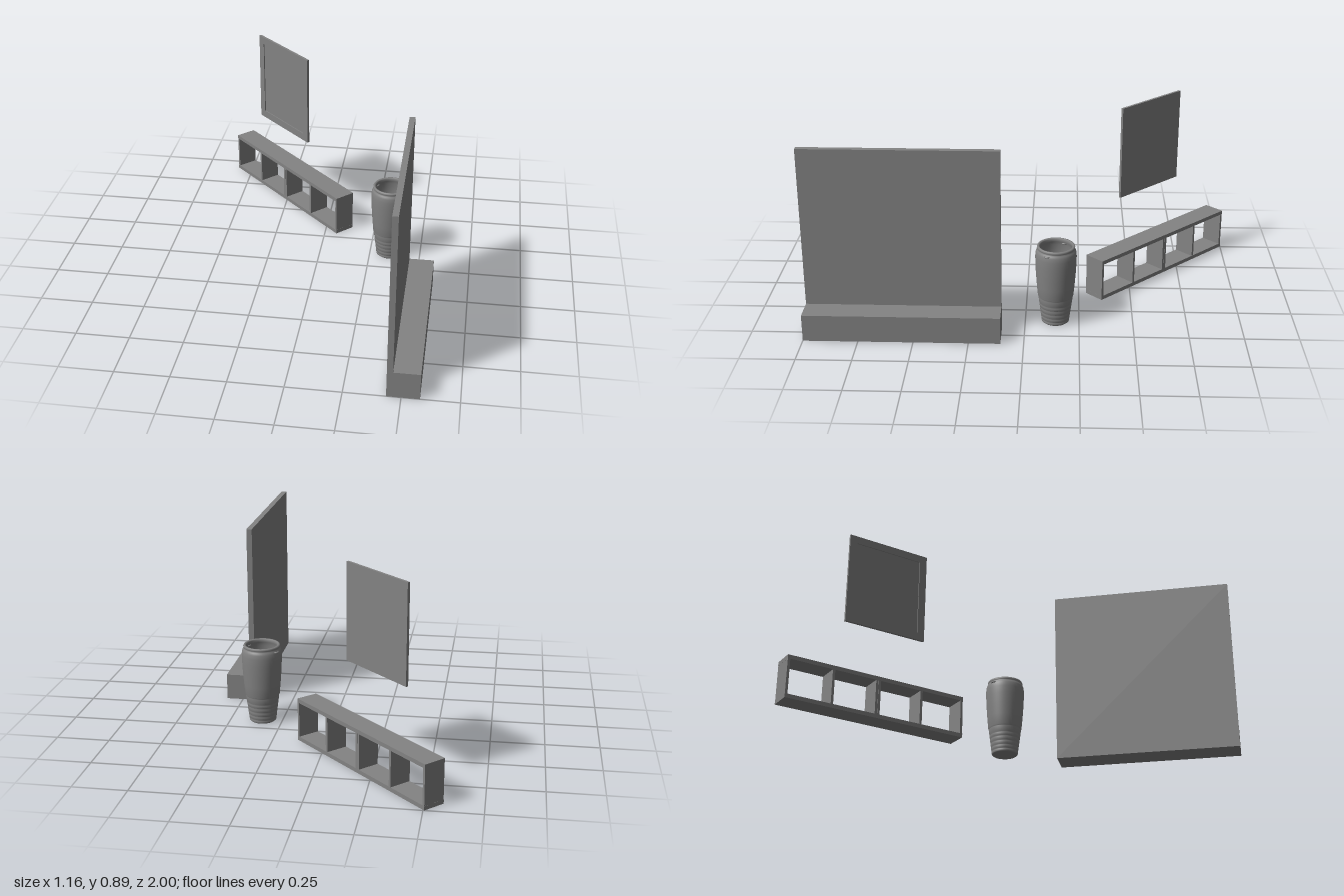
import * as THREE from 'three';

const grey = new THREE.MeshStandardMaterial({ color: 0x838383 });
const greyDouble = new THREE.MeshStandardMaterial({ color: 0x838383, side: THREE.DoubleSide });

function addMesh(parent, name, geometry, material = grey) {
  const mesh = new THREE.Mesh(geometry, material);
  mesh.name = name;
  parent.add(mesh);
  return mesh;
}

// Box given by its min and max corners
function box(parent, name, [x0, y0, z0], [x1, y1, z1]) {
  addMesh(parent, name, new THREE.BoxGeometry(x1 - x0, y1 - y0, z1 - z0))
    .position.set((x0 + x1) / 2, (y0 + y1) / 2, (z0 + z1) / 2);
}

function group(parent, name) {
  const g = new THREE.Group();
  g.name = name;
  parent.add(g);
  return g;
}

// Tall partition with a low ledge along its foot: one L-shaped section
function addPartition(root) {
  const back = 0.4365, front = 0.463, edge = 0.58, ledge = 0.127, top = 0.88;
  const section = new THREE.Shape()
    .moveTo(back, 0).lineTo(edge, 0).lineTo(edge, ledge)
    .lineTo(front, ledge).lineTo(front, top).lineTo(back, top).closePath();
  addMesh(root, 'partitionWithLedge',
    new THREE.ExtrudeGeometry(section, { depth: 0.895, bevelEnabled: false })).position.z = 0.105;
}

// Open shelf made of two identical modules, turned diagonally
function addShelf(root) {
  const g = group(root, 'shelf');
  const len = 0.4525, half = 0.053, h = 0.205, t = 0.019, w = 0.012, inset = 0.0006;
  for (const start of [-len, 0]) {
    const m = group(g, 'shelfModule');
    box(m, 'bottomBoard', [start, 0, -half], [start + len, t, half]);
    box(m, 'topBoard', [start, h - t, -half], [start + len, h, half]);
    for (const x of [start + inset, start + (len - w) / 2, start + len - w - inset]) {
      box(m, 'upright', [x, t, inset - half], [x + w, h - t, half - inset]);
    }
  }
  g.position.set(-0.2225, 0, -0.6425);
  g.rotation.y = -Math.PI / 4;
}

// Thin picture with a raised border around a recessed field
function addPicture(root) {
  const g = group(root, 'picture');
  const w = 0.2075, h = 0.2275, b = 0.037, t = 0.005;
  box(g, 'pictureBack', [-w, -h, -0.007], [w, h, 0]);
  const rect = (s, x, y) => s.moveTo(-x, -y).lineTo(x, -y).lineTo(x, y).lineTo(-x, y).closePath();
  const shape = rect(new THREE.Shape(), w, h);
  shape.holes.push(rect(new THREE.Path(), w - b, h - b));
  addMesh(g, 'pictureBorder', new THREE.ExtrudeGeometry(shape, { depth: t, bevelEnabled: false }));
  g.position.set(-0.2565, 0.6635, -0.59);
  g.rotation.y = -Math.PI / 4;
}

// Hollow vase with a ribbed foot, rolled rim and two small lugs
function addVase(root) {
  const g = group(root, 'vase');
  const pts = [[0, 0], [0.058, 0], [0.0615, 0.003]];
  // ribs, each stepping out sharply over a narrow groove
  const ribs = [0.003, 0.018, 0.037, 0.058, 0.08, 0.1, 0.134];
  const radius = y => 0.062 + 0.13 * y;
  for (let i = 0; i < ribs.length - 1; i++) {
    const a = ribs[i], b = ribs[i + 1];
    pts.push([radius(a) + 0.0015, a + 0.002], [radius(b) + 0.0005, b - 0.004], [radius(b) - 0.0025, b]);
  }
  // shoulder, neck and rim, then down the inner wall to a flat floor
  pts.push([0.0825, 0.137], [0.0875, 0.19], [0.092, 0.25], [0.0945, 0.3], [0.095, 0.335],
    [0.093, 0.355], [0.089, 0.366], [0.0845, 0.37], [0.0865, 0.374], [0.0875, 0.379], [0.085, 0.385],
    [0.078, 0.385], [0.0745, 0.38], [0.0745, 0.368], [0.083, 0.35], [0.084, 0.3], [0.079, 0.22],
    [0.07, 0.12], [0.0555, 0.018], [0.0545, 0.0155], [0.053, 0.015], [0, 0.015]);
  addMesh(g, 'vaseBody',
    new THREE.LatheGeometry(pts.map(p => new THREE.Vector2(...p)), 48), greyDouble);
  for (const side of [0, Math.PI]) {
    const pivot = group(g, 'lugMount');
    pivot.rotation.y = side - 0.48;
    const lug = addMesh(pivot, 'vaseLug', new THREE.TorusGeometry(0.011, 0.004, 8, 20));
    lug.rotation.x = Math.PI / 2;
    lug.position.set(0.085, 0.361, 0);
  }
  g.position.set(0.3455, 0, -0.14);
}

export function createModel() {
  const root = new THREE.Group();
  root.name = 'roomSet';
  addPartition(root);
  addShelf(root);
  addPicture(root);
  addVase(root);
  return root;
}
